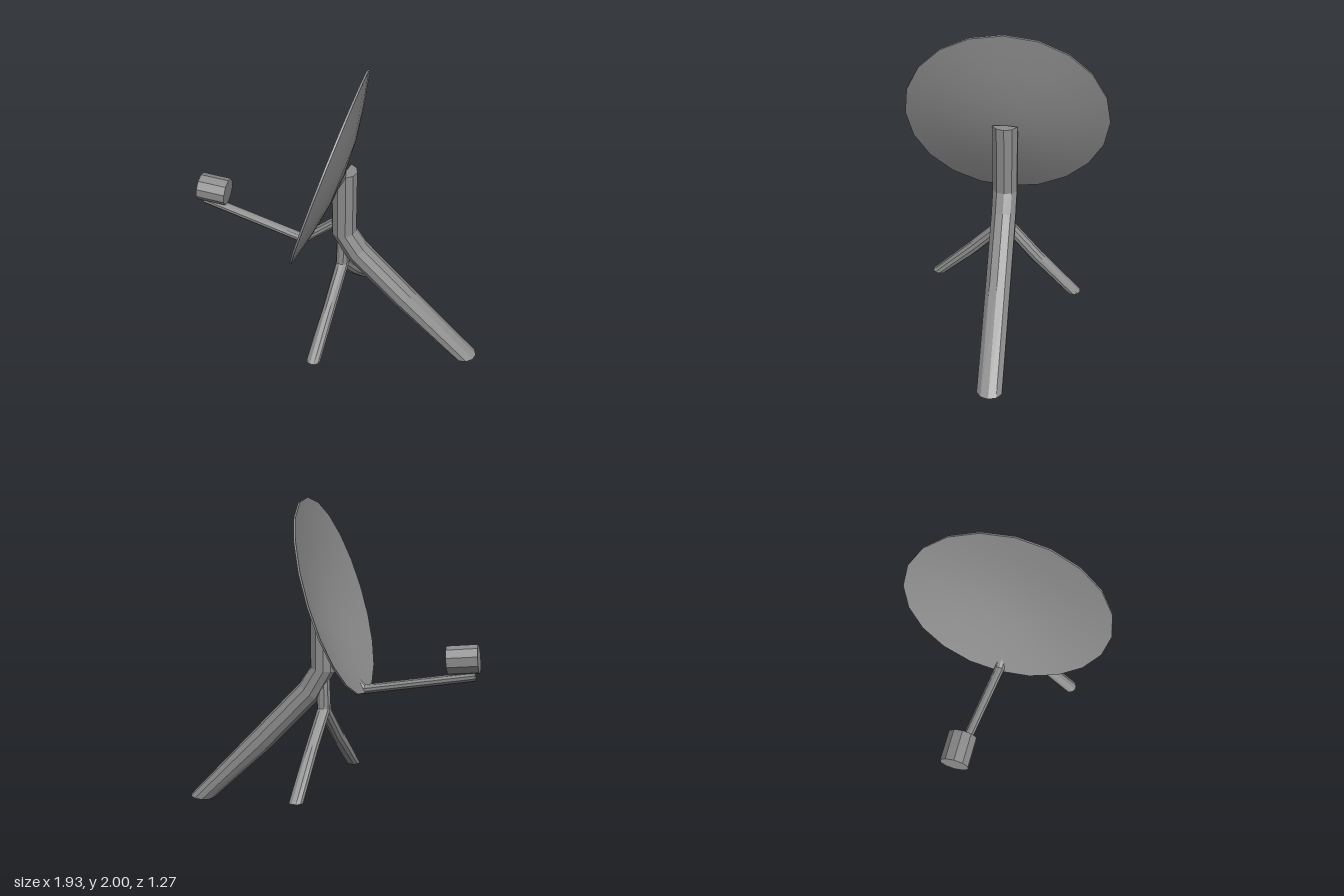
import * as THREE from 'three';
import { toCreasedNormals } from 'three/addons/utils/BufferGeometryUtils.js';

const GREY = 0x8c8c8c;
const flat = new THREE.MeshStandardMaterial({ color: GREY, flatShading: true, side: THREE.DoubleSide });
const smooth = new THREE.MeshStandardMaterial({ color: GREY, side: THREE.DoubleSide });
const SIDES = 10;

// Capped faceted tube through rings: { p: centre, n: facing, r: radius, trim: optional change to each point }
function ringTube(name, rings) {
  const pos = [], index = [];
  const zAxis = new THREE.Vector3(0, 0, 1);
  for (const { p, n, r, trim } of rings) {
    const dir = new THREE.Vector3(...n).normalize();
    const a = dir.clone().cross(zAxis).normalize();
    const b = dir.clone().cross(a);
    for (let j = 0; j < SIDES; j++) {
      const t = (j / SIDES) * Math.PI * 2;
      const v = new THREE.Vector3(...p)
        .addScaledVector(a, Math.cos(t) * r)
        .addScaledVector(b, Math.sin(t) * r);
      if (trim) trim(v);
      pos.push(v.x, v.y, v.z);
    }
  }
  const last = (rings.length - 1) * SIDES;
  const c0 = pos.length / 3, c1 = c0 + 1;
  pos.push(...(rings[0].hub ?? rings[0].p), ...rings[rings.length - 1].p);
  for (let j = 0; j < SIDES; j++) {
    const k = (j + 1) % SIDES;
    for (let i = 0; i < last; i += SIDES) {
      index.push(i + j, i + k, i + SIDES + k, i + j, i + SIDES + k, i + SIDES + j);
    }
    index.push(c0, k, j, c1, last + j, last + k);
  }
  const geo = new THREE.BufferGeometry();
  geo.setAttribute('position', new THREE.Float32BufferAttribute(pos, 3));
  geo.setIndex(index);
  geo.computeVertexNormals();
  const mesh = new THREE.Mesh(geo, flat);
  mesh.name = name;
  return mesh;
}

// Shallow thin-walled bowl
function makeDish() {
  const R = 0.636, wall = 0.012;
  const depths = [0.091, 0.081, 0.047, 0];
  const outer = depths.map((d, i) => new THREE.Vector2((R * i) / 3, -d));
  const inner = outer.map((v) => new THREE.Vector2(v.x, v.y + wall)).reverse();
  const geo = toCreasedNormals(new THREE.LatheGeometry([...outer, ...inner], 20), 0.6);
  const dish = new THREE.Mesh(geo, smooth);
  dish.name = 'dish';
  dish.position.set(-0.052, 1.39, 0);
  dish.rotation.z = 1.266;
  return dish;
}

export function createModel() {
  const group = new THREE.Group();
  group.name = 'satelliteDish';

  group.add(makeDish());

  // Mast that bends into the long leg; its top is cut along the back of the bowl
  const cutToBowl = (v) => { v.y = Math.min(1.385, 1.385 + 2.7 * (v.x - 0.045)); };
  group.add(ringTube('mastAndLongLeg', [
    { p: [0.034, 1.385, 0], n: [0, -1, 0], r: 0.081, trim: cutToBowl, hub: [0.045, 1.385, 0] },
    { p: [0.034, 0.925, 0], n: [0.15, -1, 0], r: 0.081 },
    { p: [0.12, 0.78, 0], n: [0.62, -0.78, 0], r: 0.081 },
    { p: [0.435, 0.45, 0], n: [0.72, -0.69, 0], r: 0.081 },
    { p: [0.88, 0.01, 0], n: [0.1, -1, 0], r: 0.081 },
  ]));

  // Two short side legs
  for (const [name, side, midX, endX] of [['shortLegFront', 1, -0.012, -0.058], ['shortLegBack', -1, 0.052, 0.073]]) {
    group.add(ringTube(name, [
      { p: [0.03, 0.86, 0], n: [0, -1, 0], r: 0.043 },
      { p: [0.025, 0.66, side * 0.01], n: [0, -1, side * 0.4], r: 0.043 },
      { p: [midX, 0.44, side * 0.21], n: [0, -0.75, side * 0.7], r: 0.042 },
      { p: [endX, 0.185, side * 0.465], n: [0, -1, side * 0.12], r: 0.045 },
    ]));
  }

  // Arm from the mast, under the rim, out to the receiver
  group.add(ringTube('receiverArm', [
    { p: [-0.94, 0.942, -0.092], n: [1, -0.1, 0], r: 0.03 },
    { p: [-0.238, 0.808, 0], n: [1, 0.25, 0], r: 0.033 },
    { p: [0.03, 1.03, 0], n: [0.78, 0.63, 0], r: 0.033 },
  ]));

  // Receiver drum
  group.add(ringTube('receiver', [
    { p: [-0.957, 1.047, -0.085], n: [1, -0.1, 0], r: 0.09 },
    { p: [-0.77, 1.029, -0.085], n: [1, -0.1, 0], r: 0.09 },
  ]));

  return group;
}
